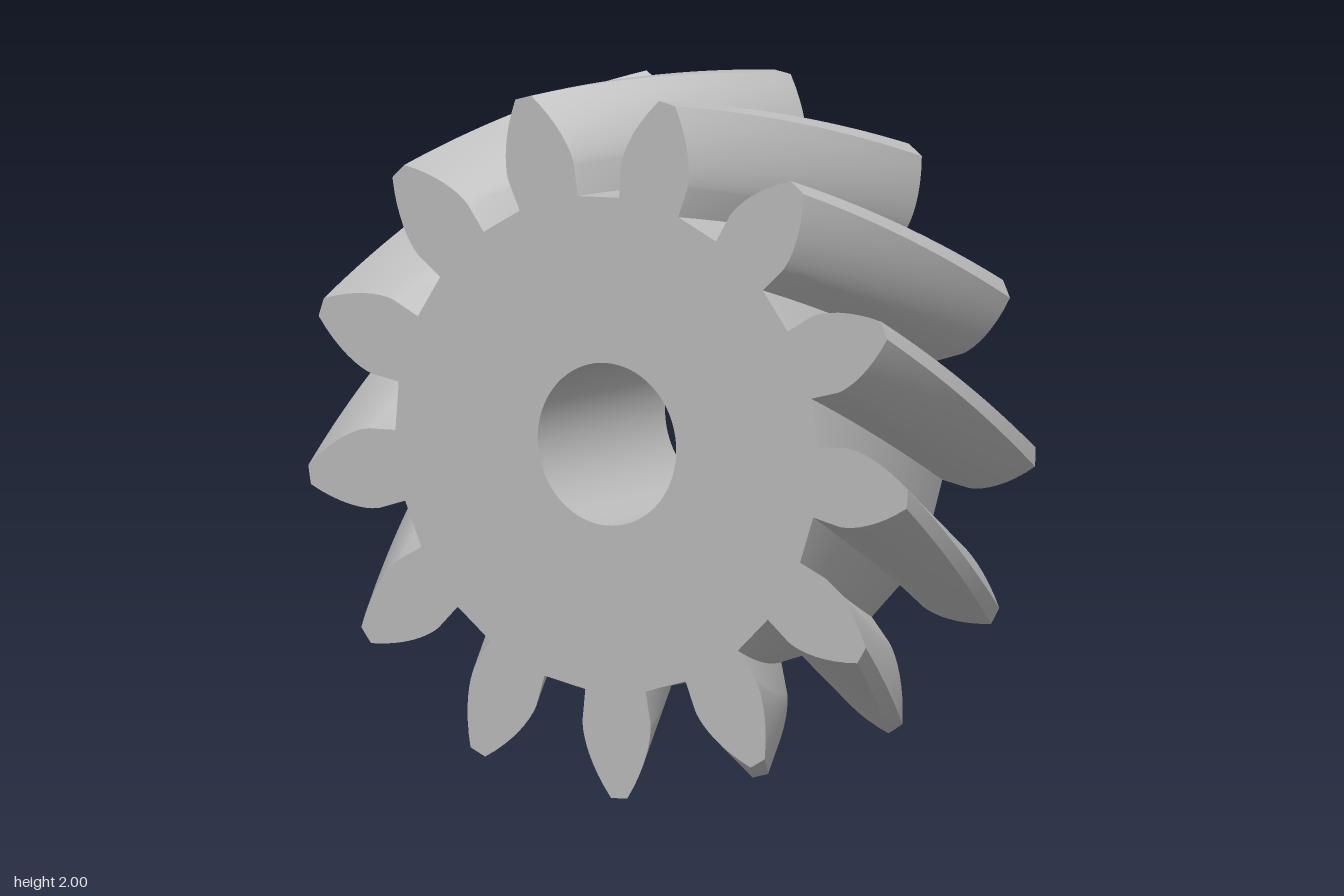
import * as THREE from 'three';
import { toCreasedNormals } from 'three/addons/utils/BufferGeometryUtils.js';

const TEETH = 13;
const ROOT_R = 0.702, BASE_R = 0.79, TIP_R = 1, BORE_R = 0.23;
const WIDTH = 0.667;
const rad = THREE.MathUtils.degToRad;
const HALF_BASE = rad(8.2);   // half tooth angle at the base circle
const PHASE = rad(-4.6);      // first tooth on the front face
const TWIST = rad(25.4);      // helix turn from front to back

// Half the angular tooth thickness at radius r: radial below the base circle, involute above
function halfAngle(r) {
  if (r <= BASE_R) return HALF_BASE;
  const a = Math.acos(BASE_R / r);
  return HALF_BASE - (Math.tan(a) - a);
}

// Gear outline with a round bore
function gearShape() {
  const flank = [ROOT_R];
  const n = 9;
  for (let i = 0; i <= n; i++) flank.push(BASE_R + (TIP_R - BASE_R) * (i / n) ** 1.4);

  const points = [];
  const add = (r, angle) => points.push(new THREE.Vector2(r * Math.cos(angle), r * Math.sin(angle)));
  for (let t = 0; t < TEETH; t++) {
    const centre = PHASE + (t / TEETH) * Math.PI * 2;
    flank.forEach((r) => add(r, centre - halfAngle(r)));
    add(TIP_R, centre);
    [...flank].reverse().forEach((r) => add(r, centre + halfAngle(r)));
  }
  const shape = new THREE.Shape(points);
  const bore = new THREE.Path();
  bore.absarc(0, 0, BORE_R, 0, Math.PI * 2, true);
  shape.holes.push(bore);
  return shape;
}

// Turn each cross-section in proportion to its depth
function twist(geometry) {
  const p = geometry.attributes.position;
  for (let i = 0; i < p.count; i++) {
    const x = p.getX(i), y = p.getY(i), z = p.getZ(i);
    const a = (z / WIDTH - 0.5) * TWIST;
    const c = Math.cos(a), s = Math.sin(a);
    p.setXYZ(i, x * c - y * s, x * s + y * c, z);
  }
  return geometry;
}

export function createModel() {
  const steel = new THREE.MeshStandardMaterial({ color: 0xbcbcbc });
  steel.name = 'steel grey';

  // Toothed wheel: straight extrusion, centred on z and twisted into a helix
  let geometry = new THREE.ExtrudeGeometry(gearShape(), {
    depth: WIDTH, steps: 24, bevelEnabled: false, curveSegments: 36,
  });
  geometry.translate(0, 0, -WIDTH / 2);
  twist(geometry);
  // The front face carries the phase, so undo the half turn the twist gave it
  geometry.rotateZ(0);
  geometry = toCreasedNormals(geometry, rad(30));

  const gear = new THREE.Mesh(geometry, steel);
  gear.name = 'helicalGear';
  gear.position.y = 1;

  const group = new THREE.Group();
  group.name = 'helicalGearWheel';
  group.add(gear);
  return group;
}
